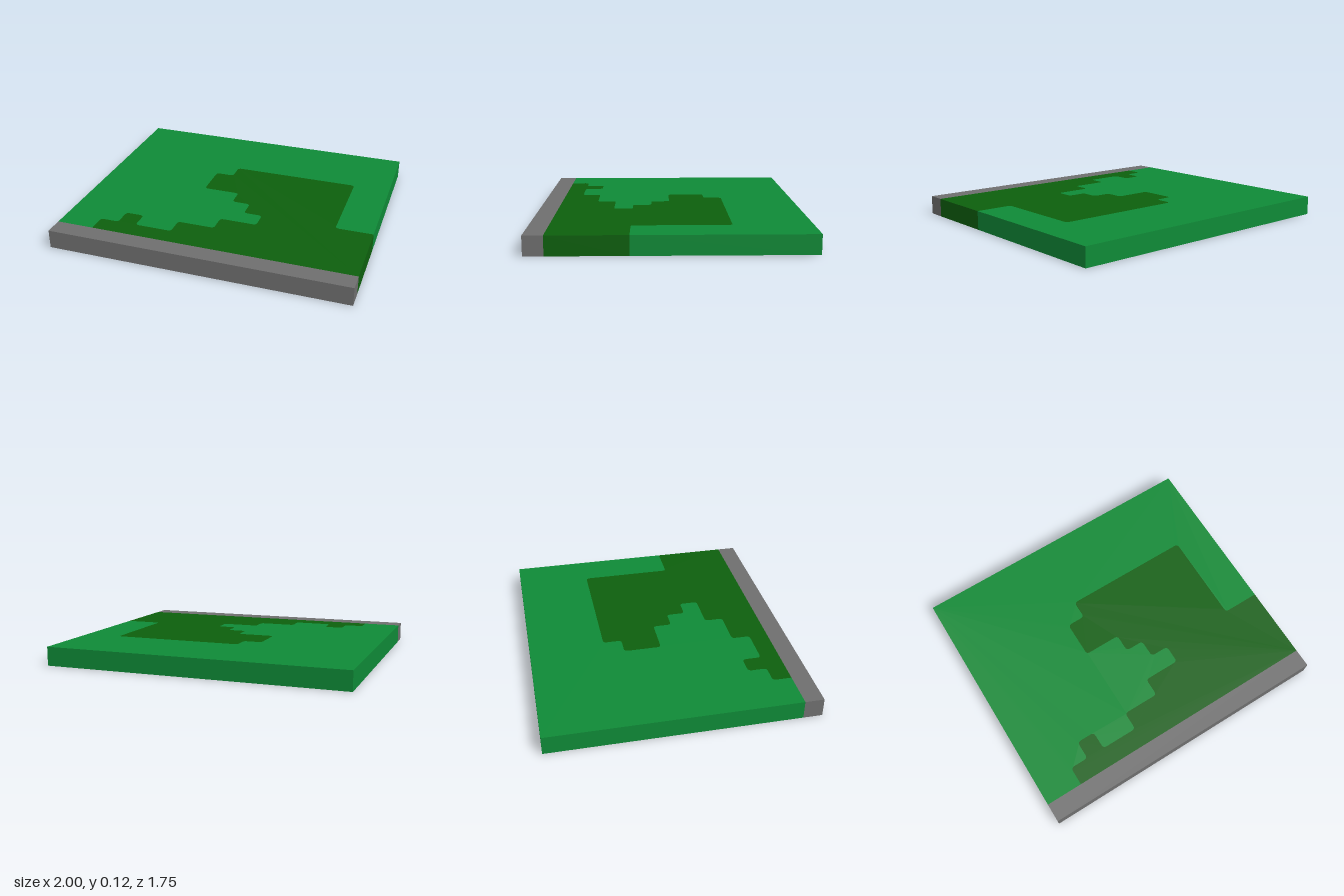
import * as THREE from 'three';

const HEIGHT = 0.125;
const CELL = 0.125;
const RADIUS = 0.025;

const material = (name, color) => {
  const m = new THREE.MeshStandardMaterial({ color });
  m.name = name;
  return m;
};

// Border between the two greens, in cells (x, z), from the curb to the right edge
const border = [
  [-6, 6], [-6, 5], [-5, 5], [-5, 4], [-4, 4], [-4, 5], [-2, 5], [-2, 4],
  [0, 4], [0, 3], [2, 3], [2, 2], [1, 2], [1, 1], [0, 1], [0, 0],
  [-2, 0], [-2, -2], [-1, -2], [-1, -3], [6, -3], [6, 2], [8, 2],
].map(([x, z]) => new THREE.Vector2(x * CELL, -z * CELL));

// Rounds every inner corner of the border with a small curve
function roundedBorder() {
  const points = [border[0]];
  for (let i = 1; i < border.length - 1; i++) {
    const p = border[i];
    const toward = (q) => p.clone().add(q.clone().sub(p).setLength(RADIUS));
    const a = toward(border[i - 1]);
    const b = toward(border[i + 1]);
    points.push(...new THREE.QuadraticBezierCurve(a, p, b).getPoints(4));
  }
  points.push(border[border.length - 1]);
  return points;
}

// Flat slab from an outline in (x, -z), standing on y = 0
function slab(name, outline, mat) {
  const geometry = new THREE.ExtrudeGeometry(new THREE.Shape(outline), {
    depth: HEIGHT, bevelEnabled: false,
  });
  geometry.rotateX(-Math.PI / 2);
  const mesh = new THREE.Mesh(geometry, mat);
  mesh.name = name;
  return mesh;
}

export function createModel() {
  const group = new THREE.Group();
  group.name = 'groundTile';
  const v = (x, z) => new THREE.Vector2(x, -z);
  const edge = roundedBorder();

  // Light lawn around the back and left
  group.add(slab('lightGrass', [...edge, v(1, -0.875), v(-1, -0.875), v(-1, 0.75)],
    material('light green', 0x0f8a37)));

  // Dark patch reaching the front and right
  group.add(slab('darkGrass', [...edge, v(1, 0.75)], material('dark green', 0x0d600d)));

  // Stone strip along the front
  const curb = new THREE.Mesh(new THREE.BoxGeometry(2, HEIGHT, CELL), material('stone grey', 0x6f6f6f));
  curb.position.set(0, HEIGHT / 2, 0.8125);
  curb.name = 'stoneCurb';
  group.add(curb);

  return group;
}
